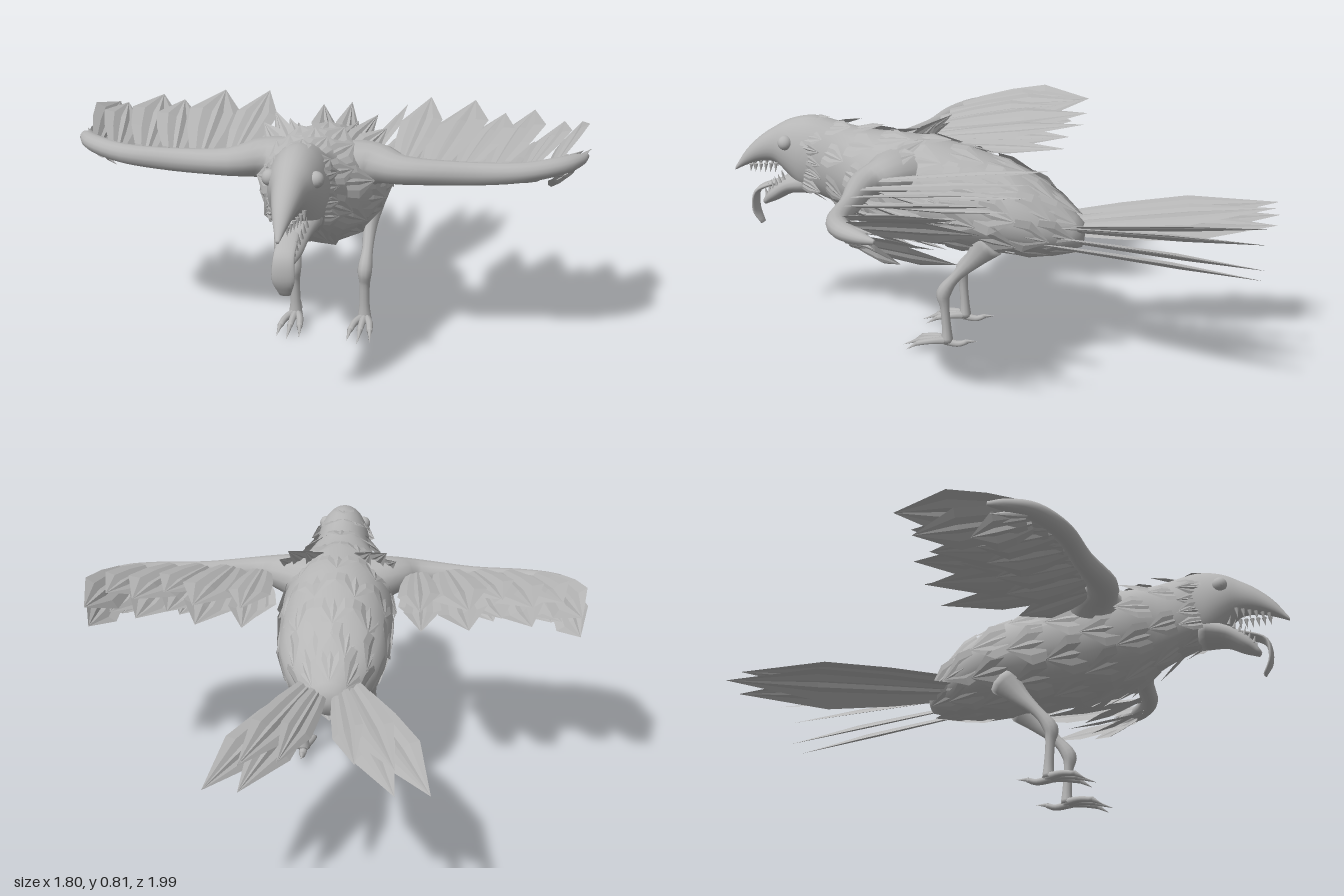
import * as THREE from 'three';

const V = (x, y, z) => new THREE.Vector3(x, y, z);
const plumage = new THREE.MeshStandardMaterial({ color: 0xb6b6b6, side: THREE.DoubleSide });
plumage.name = 'greyPlumage';

// Smooth closed skin through rings [x, y, z, halfWidth, halfHeight]
function loft(rings, { ref = V(0, 1, 0), axis = null, sides = 16, steps = 4 } = {}) {
  const path = new THREE.CatmullRomCurve3(rings.map(r => V(r[0], r[1], r[2])), false, 'catmullrom');
  const size = new THREE.CatmullRomCurve3(rings.map(r => V(r[3], r[4], 0)), false, 'catmullrom');
  const n = (rings.length - 1) * steps, pos = [], idx = [];
  for (let i = 0; i <= n; i++) {
    const c = path.getPoint(i / n), r = size.getPoint(i / n);
    const t = axis || path.getTangent(i / n);
    const s = ref.clone().cross(t).normalize(), u = t.clone().cross(s).normalize();
    for (let j = 0; j < sides; j++) {
      const a = (j / sides) * Math.PI * 2;
      const p = c.clone().addScaledVector(s, Math.cos(a) * Math.max(r.x, 0.001))
        .addScaledVector(u, Math.sin(a) * Math.max(r.y, 0.001));
      pos.push(p.x, p.y, p.z);
      if (i < n) {
        const A = i * sides + j, B = i * sides + (j + 1) % sides;
        idx.push(A, B, A + sides, B, B + sides, A + sides);
      }
    }
  }
  // End caps
  const first = path.getPoint(0), last = path.getPoint(1), k = pos.length / 3;
  pos.push(first.x, first.y, first.z, last.x, last.y, last.z);
  for (let j = 0; j < sides; j++) {
    const m = (j + 1) % sides;
    idx.push(k, m, j, k + 1, n * sides + j, n * sides + m);
  }
  const g = new THREE.BufferGeometry();
  g.setAttribute('position', new THREE.Float32BufferAttribute(pos, 3));
  g.setIndex(idx);
  g.computeVertexNormals();
  return g;
}

// Pleated pointed feather; each row is [distance along, relative width]
const LONG = [[0, 0.5], [0.3, 0.85], [0.6, 1], [1, 0]];
const LEAF = [[0, 0.9], [0.4, 1], [1, 0]];
function feather(root, tip, half, normal, fold = 0.14, rows = LONG) {
  const dir = tip.clone().sub(root), side = dir.clone().cross(normal).normalize();
  const up = side.clone().cross(dir).normalize();
  const cols = [[-1, 0], [-0.55, 0.7], [-0.2, 0.3], [0, 1], [0.2, 0.3], [0.55, 0.7], [1, 0]];
  const pos = [], idx = [];
  rows.forEach(([t, w], i) => cols.forEach(([c, h], j) => {
    const p = root.clone().addScaledVector(dir, t).addScaledVector(side, c * w * half)
      .addScaledVector(up, h * w * half * fold);
    pos.push(p.x, p.y, p.z);
    if (i < rows.length - 1 && j < 6) {
      const a = i * 7 + j;
      idx.push(a, a + 1, a + 7, a + 1, a + 8, a + 7);
    }
  }));
  let g = new THREE.BufferGeometry();
  g.setAttribute('position', new THREE.Float32BufferAttribute(pos, 3));
  g.setIndex(idx);
  g = g.toNonIndexed();
  g.computeVertexNormals();
  return g;
}

// Body profile from tail to beak tip: z, top, bottom, half width
const PROFILE = [
  [-0.32, 0.49, 0.4, 0.05], [-0.22, 0.58, 0.375, 0.14], [-0.12, 0.65, 0.37, 0.185],
  [0.0, 0.7, 0.375, 0.2], [0.2, 0.755, 0.375, 0.205], [0.35, 0.77, 0.39, 0.195],
  [0.45, 0.775, 0.425, 0.165], [0.55, 0.79, 0.475, 0.118], [0.66, 0.815, 0.52, 0.103],
  [0.72, 0.815, 0.535, 0.095], [0.78, 0.798, 0.59, 0.078], [0.83, 0.77, 0.63, 0.058],
  [0.89, 0.73, 0.632, 0.043], [0.95, 0.673, 0.612, 0.026], [1.0, 0.6, 0.588, 0.006]];

// Point on the body skin at depth z and angle a (0 = left side, PI/2 = top)
function skin(z, a, grow = 0) {
  let i = 0;
  while (i < PROFILE.length - 2 && PROFILE[i + 1][0] < z) i++;
  const p = PROFILE[i], q = PROFILE[i + 1];
  const f = THREE.MathUtils.clamp((z - p[0]) / (q[0] - p[0]), 0, 1);
  const [top, bottom, w] = [1, 2, 3].map(k => p[k] + (q[k] - p[k]) * f);
  return V(Math.cos(a) * (w + grow), (top + bottom) / 2 + Math.sin(a) * ((top - bottom) / 2 + grow), z);
}

export function createModel() {
  const model = new THREE.Group();
  model.name = 'bird';
  const add = (name, geometry, parent = model) => {
    const m = new THREE.Mesh(geometry, plumage);
    m.name = name;
    parent.add(m);
    return m;
  };
  const group = name => {
    const g = new THREE.Group();
    g.name = name;
    model.add(g);
    return g;
  };
  const spike = (name, from, to, r, parent) => {
    const d = to.clone().sub(from), m = add(name, new THREE.ConeGeometry(r, d.length(), 6), parent);
    m.position.copy(from).addScaledVector(d, 0.5);
    m.quaternion.setFromUnitVectors(V(0, 1, 0), d.normalize());
  };

  // Body, head and upper beak in one skin
  add('body', loft(PROFILE.map(([z, t, b, w]) => [0, (t + b) / 2, z, w, (t - b) / 2]),
    { axis: V(0, 0, 1), sides: 24 }));

  // Open lower beak and hanging tongue
  add('lowerBeak', loft([[0, 0.575, 0.69, 0.08, 0.05], [0, 0.553, 0.78, 0.06, 0.036],
    [0, 0.51, 0.845, 0.044, 0.028], [0, 0.472, 0.888, 0.016, 0.01]]));
  add('tongue', loft([[0, 0.575, 0.76, 0.025, 0.012], [0, 0.55, 0.85, 0.032, 0.01],
    [0, 0.515, 0.915, 0.034, 0.009], [0, 0.445, 0.925, 0.036, 0.008],
    [0, 0.39, 0.9, 0.018, 0.006]], { ref: V(0, 0.7, 0.7) }));

  // Teeth and eyes
  for (const s of [1, -1]) {
    for (let i = 0; i < 6; i++) {
      const z = 0.82 + i * 0.022, x = s * (0.046 - i * 0.006);
      spike('upperTooth', V(x, 0.64 - i * 0.004, z), V(x, 0.6 - i * 0.002, z + 0.004), 0.008);
      const k = 0.79 + i * 0.016, y = 0.578 - i * 0.014;
      spike('lowerTooth', V(s * (0.048 - i * 0.005), y, k), V(s * (0.048 - i * 0.005), y + 0.036, k + 0.01), 0.007);
    }
    const eye = add('eye', new THREE.SphereGeometry(0.027, 16, 12));
    eye.position.set(s * 0.073, 0.727, 0.77);
  }

  // Overlapping body plumes: z, count around, length, lift of the tip, half width
  const plumes = group('bodyPlumes');
  const ROWS = [[0.7, 7, 0.08, 0.01, 0.04], [0.61, 8, 0.09, 0.03, 0.045], [0.52, 9, 0.11, 0.028, 0.055],
    [0.42, 9, 0.13, 0.025, 0.065], [0.3, 9, 0.14, 0.018, 0.07], [0.16, 9, 0.14, 0.01, 0.075],
    [0.02, 9, 0.14, 0.01, 0.075], [-0.1, 9, 0.13, 0.014, 0.065], [-0.18, 8, 0.13, 0.022, 0.055]];
  ROWS.forEach(([z, count, len, lift, half], row) => {
    for (let i = 0; i < count; i++) {
      const a = Math.PI / 2 + ((i + (row % 2) / 2) / count) * Math.PI * 2;
      const out = V(Math.cos(a), Math.sin(a), 0);
      add('plume', feather(skin(z, a, -0.008), skin(z - len, a, lift), half, out, 0.12, LEAF), plumes);
    }
  });

  for (const s of [1, -1]) {
    const label = s > 0 ? 'left' : 'right';

    // Shoulder tufts
    [[0.1, 0.18, 0.805], [0.13, 0.215, 0.765], [0.07, 0.12, 0.79]].forEach(([x, tx, y], i) =>
      add('shoulderTuft', feather(V(s * x, 0.7, 0.36 - i * 0.01), V(s * tx, y, 0.21 + i * 0.02),
        0.045, V(s, 1, 0), 0.2, LEAF), plumes));

    // Cheek plumes
    for (let i = 0; i < 4; i++)
      add('cheekPlume', feather(V(s * 0.085, 0.72 - i * 0.045, 0.7), V(s * 0.122, 0.715 - i * 0.05, 0.62),
        0.028, V(s, 0, 0.3), 0.2, LEAF), plumes);

    // Wing: arm, fingers, then layered feathers
    const wing = group(label + 'Wing');
    add('wingArm', loft([[s * 0.08, 0.64, 0.33, 0.15, 0.11], [s * 0.19, 0.67, 0.345, 0.088, 0.072],
      [s * 0.3, 0.665, 0.395, 0.055, 0.048], [s * 0.5, 0.658, 0.375, 0.036, 0.04],
      [s * 0.68, 0.665, 0.355, 0.036, 0.034], [s * 0.8, 0.677, 0.295, 0.036, 0.03],
      [s * 0.86, 0.68, 0.22, 0.026, 0.022], [s * 0.89, 0.68, 0.16, 0.006, 0.008]], { sides: 14 }), wing);
    for (const dy of [-0.025, 0.025])
      spike('wingFinger', V(s * 0.82, 0.675 + dy * 0.5, 0.27), V(s * 0.875, 0.675 + dy, 0.165), 0.02, wing);

    // Root x, root z, tip x, tip z, tip y, half width, lean
    const FLIGHT = [[0.29, 0.33, 0.305, -0.26, 0.765, 0.075, 0.1], [0.4, 0.35, 0.47, -0.24, 0.765, 0.1, 0.2],
      [0.5, 0.35, 0.59, -0.1, 0.755, 0.09, 0.3], [0.6, 0.34, 0.69, -0.17, 0.755, 0.095, 0.35],
      [0.71, 0.32, 0.8, -0.08, 0.74, 0.08, 0.5], [0.79, 0.27, 0.86, -0.17, 0.72, 0.08, 0.9]];
    FLIGHT.forEach(([x, z, tx, tz, ty, w, tilt], i) => {
      const lean = V(-s * tilt, 1, 0);
      add('flightFeather', feather(V(s * x, 0.685, z), V(s * tx, ty, tz), w, lean), wing);
      add('underFeather', feather(V(s * (x + 0.03), 0.645, z), V(s * (tx + 0.005), ty - 0.1, tz + 0.07),
        w * 0.9, lean, -0.14), wing);
      add('underCovert', feather(V(s * x, 0.645, z + 0.01), V(s * (tx - 0.02), 0.595, 0.09),
        w * 0.85, V(-s * (tilt + 0.1), 1, 0), -0.2), wing);
    });

    // Tail fan
    const tail = group(label + 'Tail');
    [[0.1, -0.2, 0.425, 0.35, 0.46, 0.075], [0.06, -0.21, 0.44, 0.24, 0.455, 0.075],
      [0.03, -0.24, 0.47, 0.118, 0.56, 0.055], [0.06, -0.21, 0.475, 0.24, 0.545, 0.07]]
      .forEach(([x, z, y, tx, ty, w]) =>
        add('tailFeather', feather(V(s * x, y, z), V(s * tx, ty, -0.99), w, V(-s * 0.5, 1, 0), 0.2), tail));

    // Leg with knobbed joint
    const leg = group(label + 'Leg');
    add('shank', loft([[s * 0.125, 0.43, -0.01, 0.05, 0.06], [s * 0.128, 0.36, 0.05, 0.028, 0.034],
      [s * 0.13, 0.29, 0.115, 0.02, 0.02], [s * 0.128, 0.225, 0.16, 0.026, 0.027],
      [s * 0.127, 0.17, 0.158, 0.019, 0.017], [s * 0.126, 0.09, 0.152, 0.019, 0.017],
      [s * 0.126, 0.035, 0.15, 0.026, 0.022]], { ref: V(0, 0, 1), sides: 10 }), leg);

    // Three front toes and a hind toe, each with a claw
    for (const k of [-1, 0, 1]) {
      const x = s * 0.126 + k * 0.035;
      add('toe', loft([[s * 0.126, 0.04, 0.14, 0.018, 0.018], [s * 0.126 + k * 0.025, 0.04, 0.2, 0.013, 0.012],
        [x, 0.03, 0.255, 0.011, 0.01]], { sides: 8 }), leg);
      spike('claw', V(x, 0.032, 0.25), V(x + k * 0.006, 0.003, k ? 0.295 : 0.32), 0.01, leg);
    }
    add('hindToe', loft([[s * 0.126, 0.035, 0.16, 0.018, 0.015], [s * 0.126, 0.028, 0.11, 0.013, 0.012],
      [s * 0.126, 0.04, 0.075, 0.009, 0.009]], { sides: 8 }), leg);
    spike('hindClaw', V(s * 0.126, 0.04, 0.08), V(s * 0.126, 0.045, 0.035), 0.009, leg);
  }
  return model;
}
